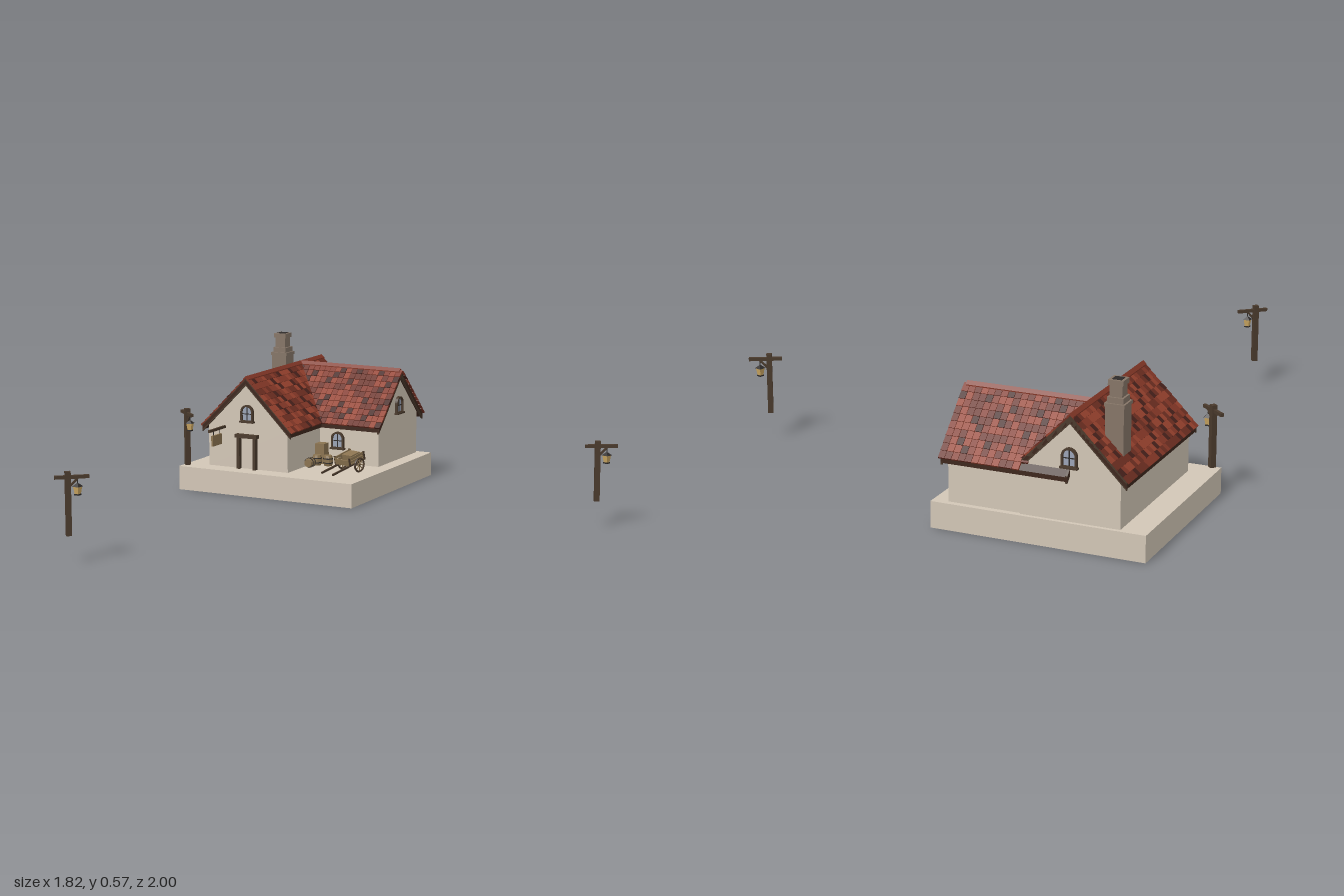
import * as THREE from 'three';
import { mergeGeometries } from 'three/addons/utils/BufferGeometryUtils.js';

const mat = (color, side = THREE.FrontSide) => new THREE.MeshStandardMaterial({ color, side, flatShading: true });
const M = {
  plaster: mat(0xd2c6b6), stone: mat(0x857567), wood: mat(0x4a3a2c), oak: mat(0x8a7350),
  iron: mat(0x2e2b2a), glass: mat(0x9aa3b5), glow: mat(0xc9a560), under: mat(0x3d261c),
};
const TILES = [0x94402c, 0x823626, 0x6a2c20, 0x45201a].map(c => mat(c));

const GROUND = 0.095, RIDGE = 0.455, CX = -0.617, CZ = -0.805, EAVE = 0.2;

function add(parent, name, geo, material, x = 0, y = 0, z = 0) {
  const m = new THREE.Mesh(geo, material);
  m.name = name;
  m.position.set(x, y, z);
  parent.add(m);
  return m;
}
const box = (w, h, d) => new THREE.BoxGeometry(w, h, d);
function group(parent, name, x, y, z, ry = 0) {
  const g = new THREE.Group();
  g.name = name;
  g.position.set(x, y, z);
  g.rotation.y = ry;
  parent.add(g);
  return g;
}
const extrude = (pts, depth) => new THREE.ExtrudeGeometry(
  new THREE.Shape(pts.map(p => new THREE.Vector2(...p))), { depth, bevelEnabled: false });

// Cross-section of a roof slab: an upside-down V of the given thickness
const chevron = (half, top, t) => [[-half, top - half], [-half, top - half - t], [0, top - t],
  [half, top - half - t], [half, top - half], [0, top]];

// One wing running along local z from a to b: walls, roof slab and verge boards
function wing(parent, name, x, z, ry, half, wallA, wallB, roofA, roofB) {
  const g = group(parent, name, x, 0, z, ry);
  const top = RIDGE - 0.014;
  add(g, 'walls', extrude([[-half, GROUND], [half, GROUND], [half, top - half], [0, top],
    [-half, top - half]], wallB - wallA), M.plaster, 0, 0, wallA);
  add(g, 'roofSlab', extrude(chevron(EAVE, RIDGE, 0.016), roofB - roofA), M.under, 0, 0, roofA);
  for (const end of [roofA, roofB - 0.008])
    add(g, 'vergeBoard', extrude(chevron(EAVE, RIDGE + 0.004, 0.026), 0.008), M.wood, 0, 0, end);
}

// Rows of overlapping tiles on all four slopes, cut along the valleys
function tiles(parent) {
  let seed = 7;
  const rnd = () => (seed = (seed * 16807) % 2147483647) / 2147483647;
  const buckets = TILES.map(() => []);
  const rows = 10, step = EAVE / rows, w = 0.0245, up = new THREE.Vector3(0, 1, 0);
  const slope = (main, s, from, to) => {
    const out = main ? new THREE.Vector3(s, 0, 0) : new THREE.Vector3(0, 0, s);
    const n = out.clone().add(up).normalize(), down = out.clone().sub(up).normalize();
    const basis = new THREE.Matrix4().makeBasis(n.clone().cross(down), n, down);
    for (let r = 0; r < rows; r++) {
      const d = (r + 0.5) * step;
      for (let a = from + w / 2; a < to; a += w) {
        // distance from the other wing's ridge decides which roof is on top
        if (main && s > 0 && Math.abs(a - CZ) < d - 0.012) continue;
        if (!main && a - CX < d - 0.012) continue;
        const g = box(w * 0.94, 0.007, step * 1.41 * 1.2);
        g.rotateX(-0.1);
        g.applyMatrix4(basis);
        const y = RIDGE - d;
        const p = main ? [CX + s * d, y, a] : [a, y, CZ + s * d];
        g.translate(p[0] + n.x * 0.005, p[1] + n.y * 0.005, p[2] + n.z * 0.005);
        const dark = (r + Math.round((a - from) / w)) % 4 === 0 && rnd() < 0.6;
        buckets[dark ? 3 : Math.floor(rnd() * 3)].push(g);
      }
    }
  };
  for (const s of [-1, 1]) {
    slope(true, s, -0.983, -0.35);
    slope(false, s, CX, -0.163);
  }
  buckets.forEach((b, i) => add(parent, 'roofTiles' + (i + 1), mergeGeometries(b), TILES[i]));
}

// Arched window facing local +z
function arch(w, h, shape = new THREE.Shape()) {
  shape.moveTo(-w / 2, 0);
  shape.lineTo(w / 2, 0);
  shape.lineTo(w / 2, h - w / 2);
  shape.absarc(0, h - w / 2, w / 2, 0, Math.PI, false);
  shape.lineTo(-w / 2, 0);
  return shape;
}
function archWindow(parent, x, y, z, ry) {
  const g = group(parent, 'window', x, y, z, ry);
  const outer = arch(0.056, 0.068), hole = arch(0.042, 0.055, new THREE.Path());
  hole.curves.forEach(c => { if (c.v1) { c.v1.y += 0.006; c.v2.y += 0.006; } else c.aY += 0.006; });
  outer.holes.push(hole);
  add(g, 'frame', new THREE.ExtrudeGeometry(outer, { depth: 0.012, bevelEnabled: false, curveSegments: 8 }), M.wood);
  add(g, 'pane', new THREE.ShapeGeometry(arch(0.05, 0.064), 8), M.glass, 0, 0, 0.004);
  add(g, 'mullion', box(0.003, 0.058, 0.005), M.iron, 0, 0.033, 0.005);
  add(g, 'glazingBar', box(0.044, 0.003, 0.005), M.iron, 0, 0.032, 0.005);
  add(g, 'sill', box(0.064, 0.006, 0.018), M.wood, 0, 0, 0.008);
}

// Post with crossarm and hanging lantern; the long arm points along local +x
function lampPost(parent, x, z, dx, dz, shift = 0) {
  const g = group(parent, 'lampPost', x, 0.1, z, Math.atan2(-dz, dx));
  add(g, 'post', box(0.02, 0.228, 0.02), M.wood, 0, 0.114, 0);
  add(g, 'crossarm', box(0.122, 0.012, 0.012), M.wood, 0.014 + shift, 0.208, 0);
  add(g, 'brace', box(0.045, 0.007, 0.008), M.wood, 0.02, 0.188, 0).rotation.z = 0.8;
  add(g, 'hook', box(0.003, 0.02, 0.003), M.iron, 0.034, 0.193, 0);
  add(g, 'lanternCap', new THREE.ConeGeometry(0.02, 0.014, 4, 1), M.iron, 0.034, 0.18, 0);
  add(g, 'lanternGlass', new THREE.CylinderGeometry(0.016, 0.011, 0.026, 4), M.glow, 0.034, 0.16, 0);
  add(g, 'lanternBase', new THREE.CylinderGeometry(0.013, 0.013, 0.005, 4), M.iron, 0.034, 0.145, 0);
}

function barrel(parent, x, y, z, r = 0.02, h = 0.042) {
  const g = group(parent, 'barrel', x, y, z);
  const pts = [[0, 0], [0.8, 0], [1, 0.33], [1, 0.67], [0.8, 1], [0, 1]];
  add(g, 'staves', new THREE.LatheGeometry(pts.map(p => new THREE.Vector2(p[0] * r, (p[1] - 0.5) * h)), 10), M.oak);
  for (const s of [-1, 1])
    add(g, 'hoop', new THREE.CylinderGeometry(r * 1.03, r * 1.03, 0.004, 10), M.iron, 0, s * h * 0.2, 0);
  return g;
}

// Two-wheeled handcart resting on its shafts, which point along local +z
function cart(parent) {
  const g = group(parent, 'handcart', -0.238, GROUND + 0.03, -0.51, -0.29);
  const bed = group(g, 'bed', 0, 0.012, 0);
  bed.rotation.x = 0.22;
  for (let i = -2; i <= 2; i++) add(bed, 'plank', box(0.013, 0.005, 0.094), M.oak, i * 0.0145, 0, 0);
  for (const s of [-1, 1]) {
    for (const y of [0.01, 0.023]) add(bed, 'sideBoard', box(0.004, 0.009, 0.094), M.oak, s * 0.036, y, 0);
    for (const z of [-0.042, 0.042]) add(bed, 'stake', box(0.006, 0.034, 0.006), M.wood, s * 0.039, 0.012, z);
    add(bed, 'endBoard', box(0.072, 0.018, 0.004), M.oak, 0, 0.011, s * 0.045);
    add(bed, 'shaft', box(0.007, 0.007, 0.18), M.wood, s * 0.03, -0.006, 0.044);
    const wheel = group(g, 'wheel', s * 0.046, 0, -0.005, Math.PI / 2);
    add(wheel, 'rim', new THREE.TorusGeometry(0.026, 0.004, 5, 16), M.wood);
    for (let k = 0; k < 4; k++) add(wheel, 'spoke', box(0.05, 0.003, 0.003), M.oak).rotation.z = k * Math.PI / 4;
  }
  add(g, 'axle', new THREE.CylinderGeometry(0.004, 0.004, 0.1, 6), M.wood, 0, 0, -0.005).rotation.z = Math.PI / 2;
  add(bed, 'load', box(0.05, 0.026, 0.05), M.oak, 0, 0.015, -0.01);
}

export function createModel() {
  const root = new THREE.Group();
  root.name = 'cottage';

  add(root, 'platform', box(0.775, GROUND, 0.715), M.plaster, -0.503, GROUND / 2, -0.642);
  wing(root, 'mainWing', CX, 0, 0, 0.179, -0.985, -0.362, -0.988, -0.345);
  wing(root, 'sideWing', 0, CZ, Math.PI / 2, 0.173, CX, -0.173, CX, -0.158);
  tiles(root);

  // Ridge caps
  const cap = (len) => extrude(chevron(0.012, RIDGE + 0.015, 0.008), len);
  add(root, 'mainRidge', cap(0.64), TILES[1], CX, 0, -0.987);
  add(root, 'sideRidge', cap(0.455), TILES[1], CX, 0, CZ).rotation.y = Math.PI / 2;

  // Chimney
  const chimney = group(root, 'chimney', -0.735, 0, -0.865);
  for (const [w, y0, y1] of [[0.066, 0.28, 0.485], [0.072, 0.478, 0.49], [0.058, 0.49, 0.51],
    [0.044, 0.51, 0.55], [0.054, 0.55, 0.568]])
    add(chimney, 'stonework', box(w, y1 - y0, w), M.stone, 0, (y0 + y1) / 2, 0);
  add(chimney, 'flue', box(0.034, 0.002, 0.034), M.iron, 0, 0.5685, 0);

  // Windows: front gable, side wing front, end gable, back gable
  archWindow(root, CX, 0.285, -0.362, 0);
  archWindow(root, -0.354, 0.155, CZ + 0.173, 0);
  archWindow(root, -0.173, 0.287, CZ, Math.PI / 2);
  archWindow(root, CX, 0.285, -0.985, Math.PI);

  // Door frame
  const door = group(root, 'doorFrame', CX, GROUND, -0.354);
  for (const s of [-1, 1]) add(door, 'doorPost', box(0.012, 0.13, 0.022), M.wood, s * 0.036, 0.065, 0);
  add(door, 'lintel', box(0.098, 0.014, 0.028), M.wood, 0, 0.133, 0);

  // Hanging sign
  const sign = group(root, 'hangingSign', -0.722, 0, -0.3);
  add(sign, 'bracket', box(0.009, 0.01, 0.125), M.wood, 0, 0.257, 0);
  for (const s of [-1, 1]) add(sign, 'chain', box(0.002, 0.022, 0.002), M.iron, 0, 0.243, 0.005 + s * 0.024);
  add(sign, 'board', box(0.008, 0.042, 0.07), M.oak, 0, 0.214, 0.005);

  // Barrels and crates in the yard corner
  barrel(root, -0.365, GROUND + 0.021, -0.565);
  barrel(root, -0.412, GROUND + 0.02, -0.5, 0.02, 0.04).rotation.x = Math.PI / 2;
  barrel(root, -0.41, GROUND + 0.021, -0.555);
  add(root, 'lowerCrate', box(0.042, 0.042, 0.042), M.oak, -0.413, GROUND + 0.021, -0.604);
  add(root, 'upperCrate', box(0.04, 0.04, 0.04), M.oak, -0.412, GROUND + 0.062, -0.6);
  cart(root);

  // Lamp posts
  lampPost(root, -0.863, -0.305, 0.77, 0.64, -0.014);
  lampPost(root, 0.841, -0.415, 0.875, -0.48);
  lampPost(root, -0.583, 0.955, 0.75, -0.66);
  return root;
}
